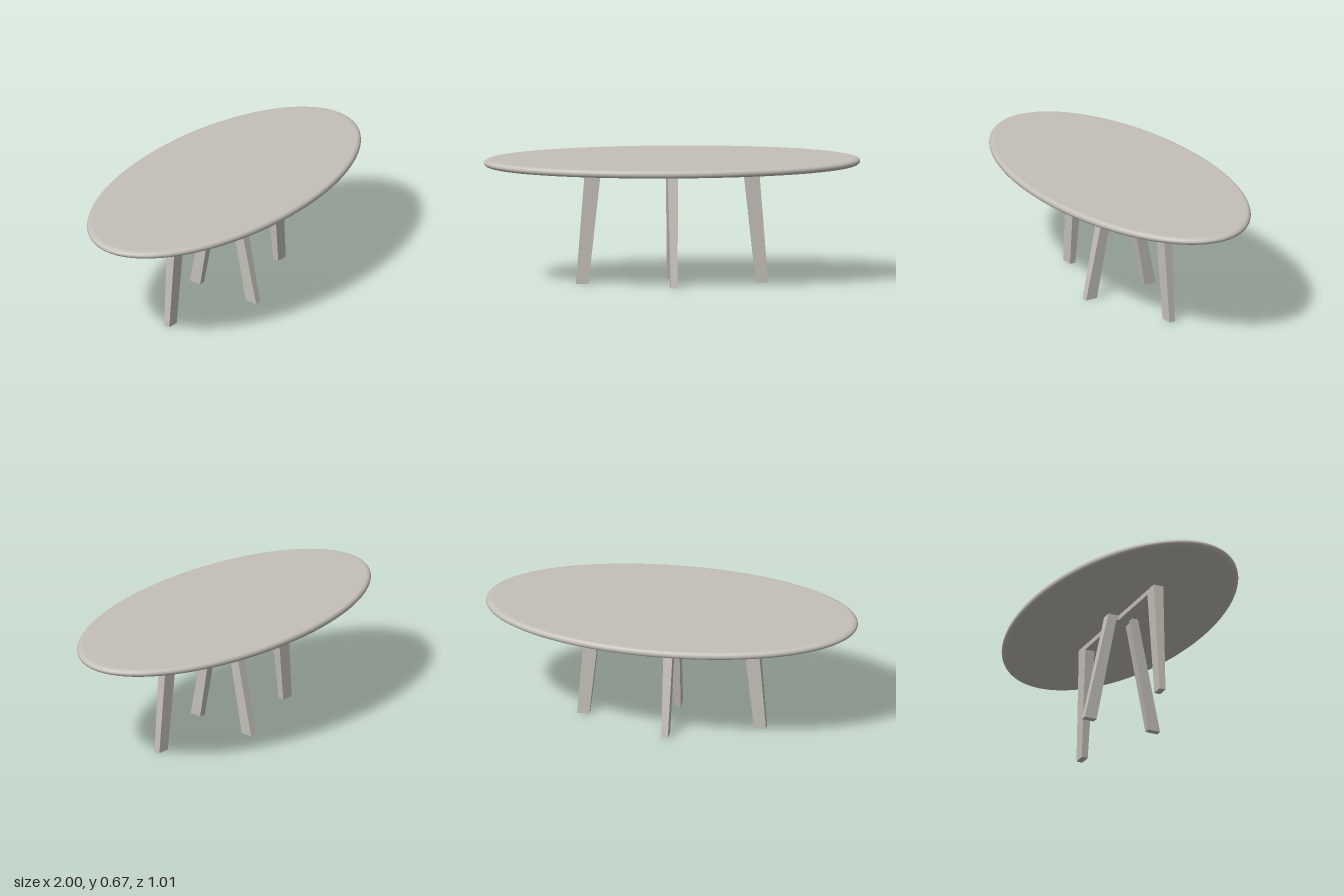
import * as THREE from 'three';

const LEG_TOP = 0.628;

// Tapered, splayed leg running outward along +x
function legGeometry(topIn, topOut, topHalf, footIn, footOut, footHalf) {
  const geo = new THREE.BoxGeometry(1, 1, 1);
  const p = geo.attributes.position;
  for (let i = 0; i < p.count; i++) {
    const top = p.getY(i) > 0, outer = p.getX(i) > 0;
    const half = top ? topHalf : footHalf;
    const x = top ? (outer ? topOut : topIn) : (outer ? footOut : footIn);
    p.setXYZ(i, x, top ? LEG_TOP : 0, Math.sign(p.getZ(i)) * half);
  }
  geo.computeVertexNormals();
  return geo;
}

// Oval slab with a rounded rim
function topGeometry(y0, y1, depth, rim) {
  const r = (y1 - y0) / 2, mid = (y0 + y1) / 2;
  const pts = [new THREE.Vector2(0, y0), new THREE.Vector2(1 - rim - 0.004, y0)];
  for (let i = 0; i <= 12; i++) {
    const a = -Math.PI / 2 + (Math.PI * i) / 12;
    pts.push(new THREE.Vector2(1 - rim + rim * Math.cos(a), mid + r * Math.sin(a)));
  }
  pts.push(new THREE.Vector2(1 - rim - 0.004, y1), new THREE.Vector2(0, y1));
  return new THREE.LatheGeometry(pts, 128).scale(1, 1, depth);
}

export function createModel() {
  const model = new THREE.Group();
  model.name = 'ovalTable';
  const grey = new THREE.MeshStandardMaterial({ color: 0xc4c0b8 });
  grey.name = 'warmGrey';
  const add = (parent, name, geo) => {
    const mesh = new THREE.Mesh(geo, grey);
    mesh.name = name;
    parent.add(mesh);
    return mesh;
  };

  add(model, 'tabletop', topGeometry(0.627, 0.667, 0.505, 0.034));

  // Base: crossed beams on four splayed legs
  const base = new THREE.Group();
  base.name = 'base';
  base.position.z = 0.006;
  model.add(base);

  const endLeg = legGeometry(0.377, 0.46, 0.028, 0.445, 0.51, 0.0175);
  const sideLeg = legGeometry(0.035, 0.086, 0.028, 0.152, 0.2215, 0.0175);
  ['leftLeg', 'backLeg', 'rightLeg', 'frontLeg'].forEach((name, i) => {
    add(base, name, i % 2 ? sideLeg : endLeg).rotation.y = (i * Math.PI) / 2;
  });

  add(base, 'longBeam', new THREE.BoxGeometry(0.77, 0.028, 0.055)).position.y = 0.614;
  add(base, 'crossBeam', new THREE.BoxGeometry(0.054, 0.0275, 0.09)).position.y = 0.6138;
  return model;
}
